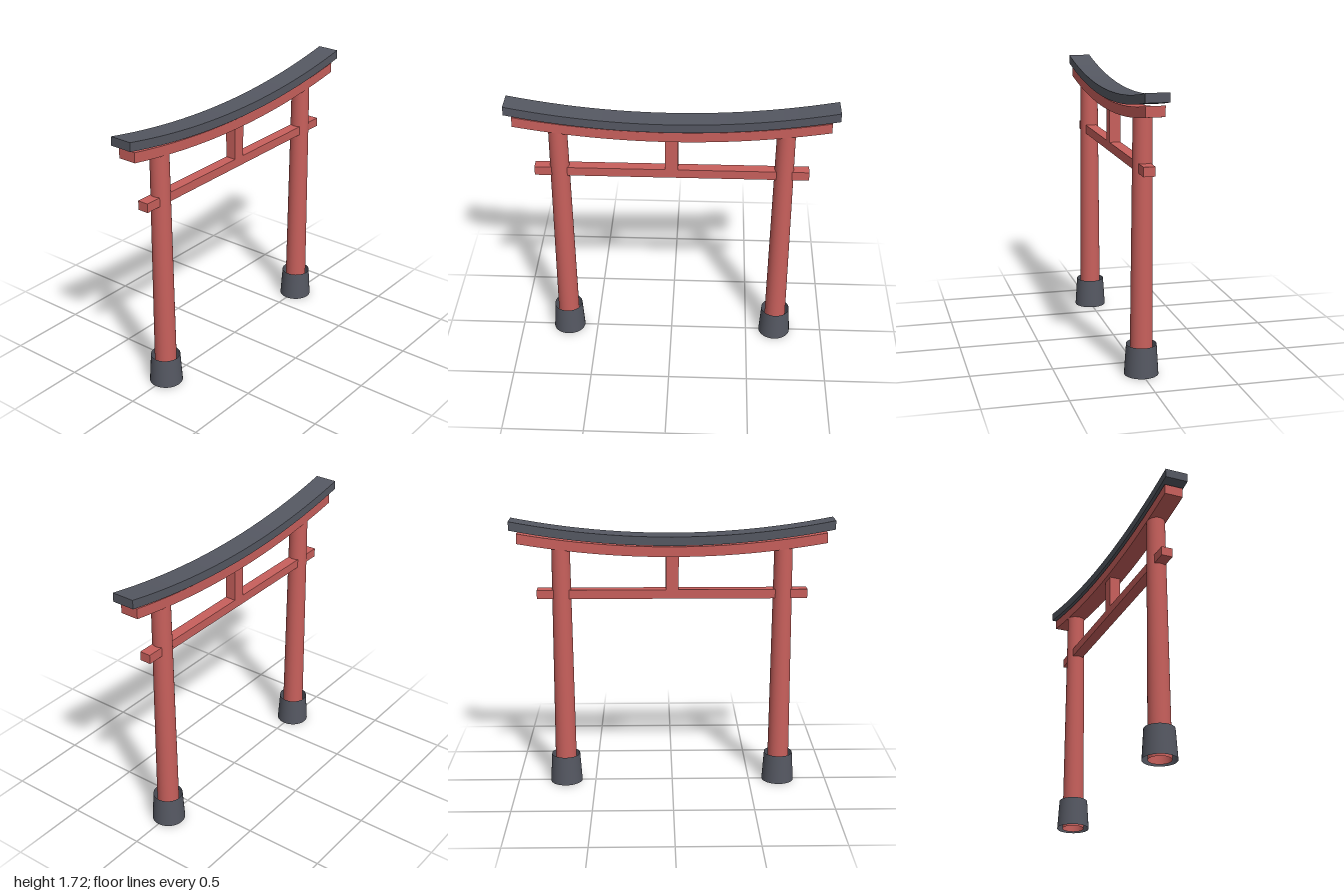
import * as THREE from 'three';

const red = new THREE.MeshStandardMaterial({ color: 0xc8605c, side: THREE.DoubleSide });
const slate = new THREE.MeshStandardMaterial({ color: 0x555862, side: THREE.DoubleSide });

function add(parent, name, geometry, material, x = 0, y = 0) {
  const mesh = new THREE.Mesh(geometry, material);
  mesh.name = name;
  mesh.position.set(x, y, 0);
  parent.add(mesh);
  return mesh;
}

// Beam that sweeps up towards both ends, with vertical end faces
function curvedBeam(half, midBottom, midTop, rise, depth) {
  const shape = new THREE.Shape();
  shape.moveTo(-half, midBottom + rise);
  shape.quadraticCurveTo(0, midBottom - rise, half, midBottom + rise);
  shape.lineTo(half, midTop + rise);
  shape.quadraticCurveTo(0, midTop - rise, -half, midTop + rise);
  const geometry = new THREE.ExtrudeGeometry(shape, { depth, bevelEnabled: false, curveSegments: 24 });
  return geometry.translate(0, 0, -depth / 2);
}

export function createModel() {
  const gate = new THREE.Group();
  gate.name = 'gate';

  // Tapered hollow pillars standing in open sleeves
  const pillarHeight = 1.55, sleeveHeight = 0.187;
  for (const [side, x] of [['left', 0.69], ['right', -0.69]]) {
    add(gate, side + 'Pillar',
      new THREE.CylinderGeometry(0.057, 0.069, pillarHeight, 32, 1, true), red, x, pillarHeight / 2);
    add(gate, side + 'PillarSleeve',
      new THREE.CylinderGeometry(0.091, 0.103, sleeveHeight, 32, 1, true), slate, x, sleeveHeight / 2);
  }

  // Straight tie beam and the short strut above it
  add(gate, 'tieBeam', new THREE.BoxGeometry(1.686, 0.057, 0.07), red, 0, 1.254);
  add(gate, 'centreStrut', new THREE.BoxGeometry(0.08, 0.25, 0.07), red, 0, 1.395);

  // Upper curved lintel and the dark cap above it
  add(gate, 'lintel', curvedBeam(0.955, 1.495, 1.558, 0.084, 0.115), red);
  add(gate, 'capBeam', curvedBeam(1, 1.567, 1.622, 0.098, 0.142), slate);

  return gate;
}
